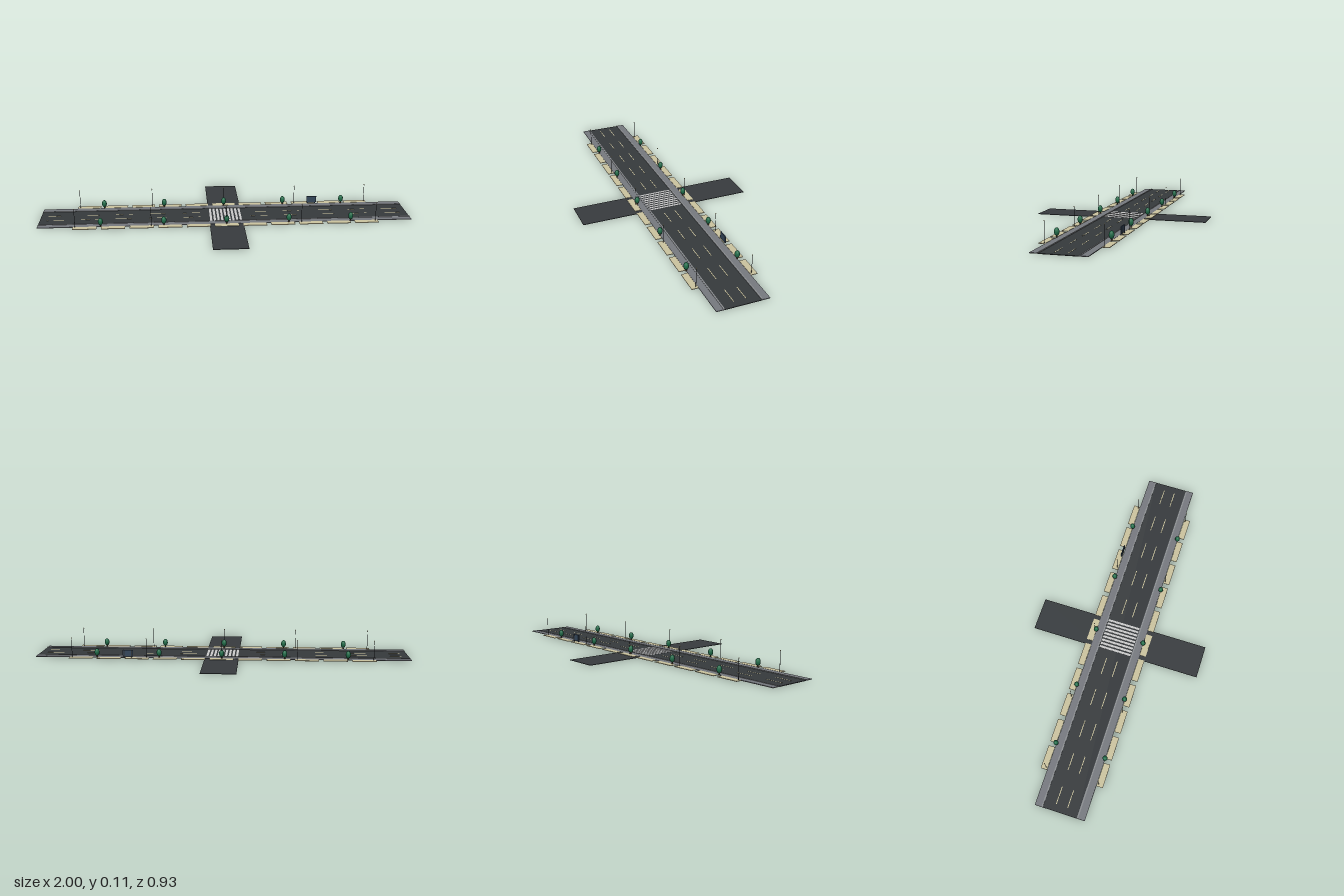
import * as THREE from 'three';

const mat = (color) => new THREE.MeshStandardMaterial({ color });
const M = {
  asphalt: mat(0x363a3d), sideStreet: mat(0x383c3f), pavement: mat(0x777a80), curb: mat(0x8c8f92),
  plot: mat(0xcdc5a0), paint: mat(0xdcdcd8), lane: mat(0xd0c8a0), pole: mat(0x2c2f33),
  lamp: mat(0xe8dcb0), leaf: mat(0x1f6b48), trunk: mat(0x5a4330), panel: mat(0x33465a),
};

export function createModel() {
  const root = new THREE.Group();
  const add = (name, geo, material, x, y, z, parent = root) => {
    const m = new THREE.Mesh(geo, material);
    m.name = name;
    m.position.set(x, y, z);
    parent.add(m);
    return m;
  };
  // box standing on height y0
  const box = (name, material, w, h, d, x, y0, z, parent) =>
    add(name, new THREE.BoxGeometry(w, h, d), material, x, y0 + h / 2, z, parent);

  // carriageways
  box('mainRoad', M.asphalt, 2, 0.003, 0.184, 0, 0, 0);
  for (const s of [-1, 1]) {
    box('sideStreet', M.sideStreet, 0.18, 0.0025, 0.375, 0, 0, s * 0.2795);
    box('sidewalk', M.pavement, 2, 0.0035, 0.036, 0, 0.0005, s * 0.117);
    box('curb', M.curb, 2, 0.0055, 0.007, 0, 0.0005, s * 0.0955);
  }

  // dashed lane lines, left out under the crossing
  for (let i = -5; i <= 5; i++) {
    if (i === 0) continue;
    for (const s of [-1, 1])
      box('laneDash', M.lane, 0.093, 0.0006, 0.004, i * 0.1833, 0.003, s * 0.031);
  }

  // pedestrian crossing
  for (let i = -4; i <= 4; i++)
    box('crossingStripe', M.paint, 0.0115, 0.0008, 0.178, i * 0.02, 0.003, 0);

  // plots beside the sidewalks
  for (const s of [-1, 1])
    for (let i = -5; i <= 5; i++)
      box('plot', M.plot, 0.126, 0.003, 0.034, i * 0.15, 0.0015, s * 0.153);

  // trees: short trunk with an egg-shaped crown
  const crown = new THREE.SphereGeometry(1, 12, 8);
  for (const s of [-1, 1])
    for (let i = -2; i <= 2; i++) {
      const tree = new THREE.Group();
      tree.name = 'tree';
      tree.position.set(i / 3, 0.003, s * 0.135);
      add('trunk', new THREE.CylinderGeometry(0.003, 0.004, 0.014, 8), M.trunk, 0, 0.007, 0, tree);
      add('crown', crown, M.leaf, 0, 0.028, 0, tree).scale.set(0.0135, 0.02, 0.0135);
      root.add(tree);
    }

  // street lamps
  for (const s of [-1, 1])
    for (let i = -2; i <= 2; i++) {
      const lamp = new THREE.Group();
      lamp.name = 'streetLamp';
      lamp.position.set(i * 0.4, 0.003, s * 0.1435);
      add('pole', new THREE.CylinderGeometry(0.0011, 0.0014, 0.104, 8), M.pole, 0, 0.052, 0, lamp);
      add('lampHead', new THREE.SphereGeometry(0.003, 8, 6), M.lamp, 0, 0.104, 0, lamp);
      root.add(lamp);
    }

  // information board on the rear sidewalk
  const board = new THREE.Group();
  board.name = 'informationBoard';
  board.position.set(0.5, 0.003, -0.14);
  box('panel', M.panel, 0.055, 0.036, 0.005, 0, 0.006, 0, board);
  for (const s of [-1, 1]) box('boardPost', M.pole, 0.004, 0.04, 0.004, s * 0.02, 0, -0.002, board);
  root.add(board);

  return root;
}
